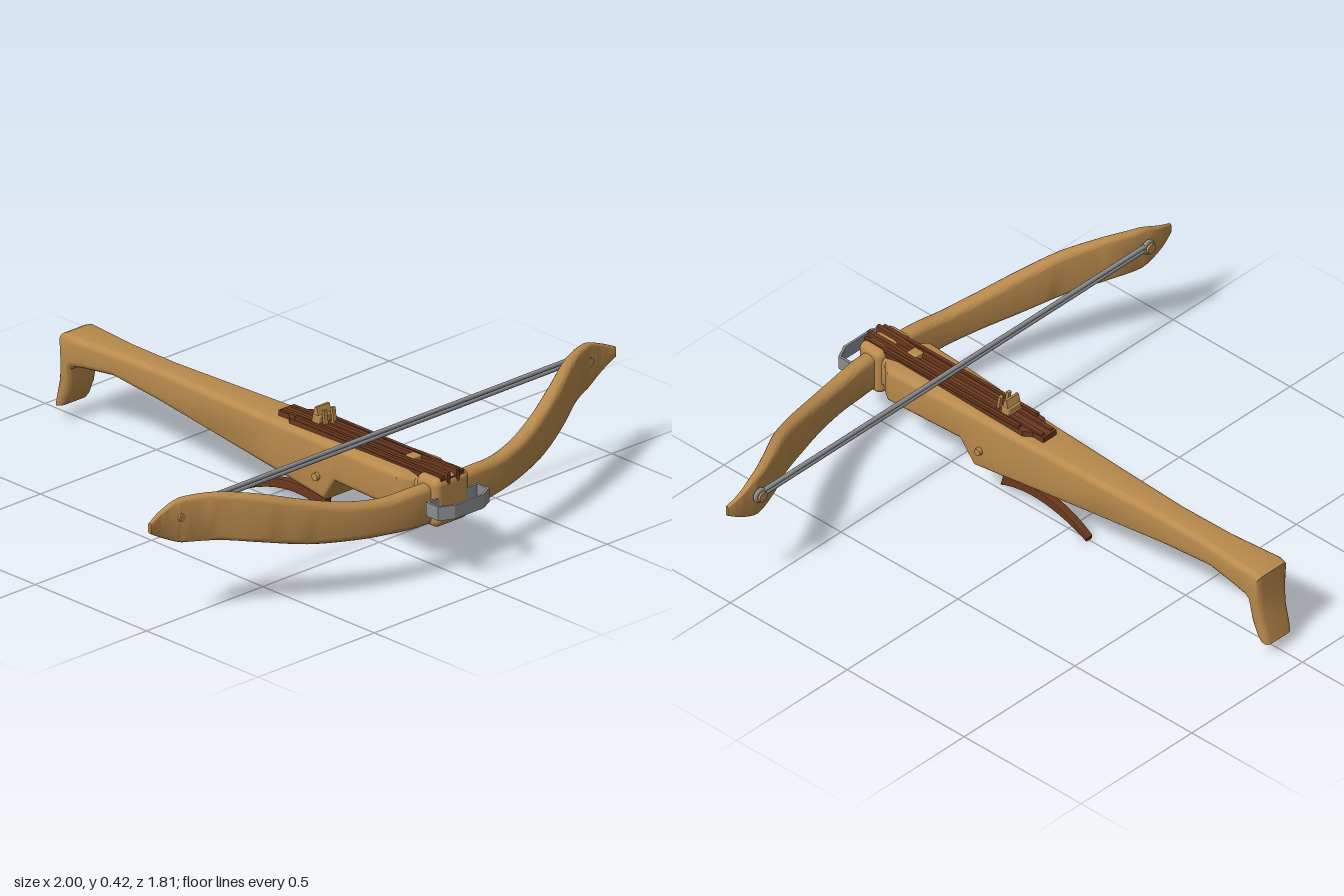
import * as THREE from 'three';
import { toCreasedNormals } from 'three/addons/utils/BufferGeometryUtils.js';
import { RoundedBoxGeometry } from 'three/addons/geometries/RoundedBoxGeometry.js';

const mat = (color) => new THREE.MeshStandardMaterial({ color, side: THREE.DoubleSide });
const V = (x, y, z) => new THREE.Vector3(x, y, z);

// Rounded rectangle ring around c, with half-axis vectors u and v and corner radius r
function ring(c, u, v, r, n = 4) {
  const pts = [], a = u.length(), b = v.length();
  const un = u.clone().normalize(), vn = v.clone().normalize();
  r = Math.min(r, a * 0.98, b * 0.98);
  [[1, 1], [-1, 1], [-1, -1], [1, -1]].forEach(([sx, sy], k) => {
    for (let i = 0; i <= n; i++) {
      const t = (k + i / n) * Math.PI / 2;
      pts.push(c.clone()
        .addScaledVector(un, sx * (a - r) + r * Math.cos(t))
        .addScaledVector(vn, sy * (b - r) + r * Math.sin(t)));
    }
  });
  return pts;
}

// Skin over a list of rings, with closed ends
function loft(rings, crease = 0.6) {
  const n = rings[0].length, pts = rings.flat(), idx = [];
  for (let i = 0; i < rings.length - 1; i++)
    for (let j = 0; j < n; j++) {
      const a = i * n + j, b = i * n + (j + 1) % n;
      idx.push(a, b, b + n, a, b + n, a + n);
    }
  const last = (rings.length - 1) * n;
  for (let j = 1; j < n - 1; j++) idx.push(0, j + 1, j, last, last + j, last + j + 1);
  // turn the faces outward
  let vol = 0;
  for (let i = 0; i < idx.length; i += 3)
    vol += pts[idx[i]].dot(pts[idx[i + 1]].clone().cross(pts[idx[i + 2]]));
  if (vol < 0) idx.reverse();
  const g = new THREE.BufferGeometry().setFromPoints(pts);
  g.setIndex(idx);
  return toCreasedNormals(g, crease);
}

// Side outline given as (z, y), extruded across x to a total width w
function sideExtrude(shape, w, bevel = 0) {
  const g = new THREE.ExtrudeGeometry(shape, {
    depth: w - 2 * bevel, bevelEnabled: bevel > 0, bevelSize: bevel, bevelThickness: bevel,
    bevelOffset: -bevel, bevelSegments: 2, curveSegments: 10
  });
  g.translate(0, 0, -w / 2 + bevel);
  g.rotateY(-Math.PI / 2);
  return g;
}

export function createModel() {
  const root = new THREE.Group();
  root.name = 'crossbow';
  const wood = mat(0xb98a4c), dark = mat(0x6b381e), metal = mat(0x8b8d90);
  const add = (name, geo, m, x = 0, y = 0, z = 0, parent = root) => {
    const mesh = new THREE.Mesh(geo, m);
    mesh.name = name;
    mesh.position.set(x, y, z);
    parent.add(mesh);
    return mesh;
  };

  // Stock: rows of top z, top y, bottom z, bottom y, half width
  const stock = [
    [0.77, 0.31, 0.77, 0.19, 0.062], [0.725, 0.31, 0.725, 0.2, 0.065],
    [0.705, 0.315, 0.705, 0.195, 0.085], [0.68, 0.32, 0.68, 0.19, 0.1],
    [0.5, 0.317, 0.5, 0.19, 0.092], [0.39, 0.314, 0.385, 0.19, 0.086],
    [0.33, 0.312, 0.33, 0.112, 0.081], [0.1, 0.307, 0.1, 0.136, 0.071],
    [-0.2, 0.304, -0.2, 0.167, 0.058], [-0.45, 0.301, -0.45, 0.193, 0.049],
    [-0.65, 0.3, -0.65, 0.215, 0.053], [-0.78, 0.3, -0.77, 0.204, 0.064],
    [-0.85, 0.302, -0.815, 0.197, 0.068], [-0.872, 0.292, -0.828, 0.185, 0.068],
    [-0.873, 0.2, -0.83, 0.15, 0.065], [-0.88, 0.14, -0.836, 0.11, 0.063],
    [-0.898, 0.07, -0.852, 0.068, 0.061], [-0.903, 0.042, -0.866, 0.05, 0.058]
  ];
  add('stock', loft(stock.map(([tz, ty, bz, by, w]) => ring(
    V(0, (ty + by) / 2, (tz + bz) / 2), V(w, 0, 0),
    V(0, (ty - by) / 2, (tz - bz) / 2), 0.022))), wood);

  // Head block holding the bow
  add('head', new RoundedBoxGeometry(0.15, 0.165, 0.1, 4, 0.025), wood, 0, 0.25, 0.785);

  // Bow: rows of x, z, top y, bottom y, half thickness, mirrored about the middle
  const half = [
    [0, 0.785, 0.31, 0.18, 0.026], [0.12, 0.783, 0.31, 0.177, 0.027],
    [0.25, 0.767, 0.305, 0.184, 0.027], [0.37, 0.738, 0.32, 0.193, 0.027],
    [0.5, 0.693, 0.353, 0.207, 0.026], [0.64, 0.63, 0.395, 0.236, 0.023],
    [0.76, 0.563, 0.417, 0.258, 0.02], [0.87, 0.518, 0.418, 0.268, 0.015],
    [0.95, 0.508, 0.39, 0.304, 0.009], [1, 0.514, 0.368, 0.333, 0.006]
  ];
  const rows = [...half.slice(1).reverse().map(([x, ...r]) => [-x, ...r]), ...half];
  const path = new THREE.CatmullRomCurve3(rows.map(([x, z, t, b]) => V(x, (t + b) / 2, z)));
  const size = new THREE.CatmullRomCurve3(rows.map(([, , t, b, w]) => V((t - b) / 2, w, 0)));
  const bowRings = [];
  for (let i = 0; i <= 72; i++) {
    const t = i / 72, c = path.getPoint(t), s = size.getPoint(t), d = path.getTangent(t);
    const across = V(-d.z, 0, d.x).normalize().multiplyScalar(s.y);
    bowRings.push(ring(c, across, V(0, s.x, 0), s.y * 0.85));
  }
  add('bow', loft(bowRings), wood);

  // Bolt rail: flat base with ridges either side of the groove
  const railBase = new THREE.Shape([[-0.05, 0.83], [0.05, 0.83], [0.05, 0.15], [0.03, 0.125],
    [0.03, 0.08], [-0.03, 0.08], [-0.03, 0.125], [-0.05, 0.15]].map(p => new THREE.Vector2(...p)));
  const baseGeo = new THREE.ExtrudeGeometry(railBase, { depth: 0.022, bevelEnabled: false });
  baseGeo.rotateX(Math.PI / 2);
  const rail = new THREE.Group();
  rail.name = 'rail';
  root.add(rail);
  add('railBase', baseGeo, dark, 0, 0.326, 0, rail);
  const ridge = new THREE.Shape([[0.835, 0.305], [0.835, 0.347], [0.73, 0.347], [0.7, 0.342],
    [0.3, 0.338], [0.09, 0.332], [0.085, 0.305]].map(p => new THREE.Vector2(...p)));
  for (const s of [-1, 1]) {
    add('railRidge', sideExtrude(ridge, 0.016, 0.003), dark, s * 0.02, 0, 0, rail);
    add('railEdge', new THREE.BoxGeometry(0.012, 0.024, 0.66), dark, s * 0.042, 0.325, 0.5, rail);
  }
  add('boltRest', new RoundedBoxGeometry(0.036, 0.03, 0.04, 2, 0.005), wood, 0, 0.332, 0.655);

  // String catch: block with a front finger and a pointed rear fin
  add('catchBlock', new RoundedBoxGeometry(0.06, 0.03, 0.035, 2, 0.006), wood, 0, 0.345, 0.245);
  const fin = new THREE.Shape([[0.262, 0.335], [0.248, 0.386], [0.24, 0.386], [0.226, 0.335]]
    .map(p => new THREE.Vector2(...p)));
  add('catchFin', sideExtrude(fin, 0.056), wood);
  for (const s of [-1, 1]) {
    const f = add('catchFinger', new THREE.BoxGeometry(0.014, 0.05, 0.01), wood, s * 0.018, 0.357, 0.276);
    f.rotation.x = -0.15;
  }

  // Trigger lever
  const lever = new THREE.Shape();
  lever.moveTo(0.285, 0.14);
  lever.lineTo(0.285, 0.11);
  lever.lineTo(0.27, 0.065);
  lever.lineTo(0.281, 0.03);
  lever.bezierCurveTo(0.19, 0.068, 0.07, 0.075, -0.088, 0);
  lever.lineTo(-0.09, 0.014);
  lever.bezierCurveTo(0.01, 0.085, 0.13, 0.108, 0.258, 0.08);
  lever.lineTo(0.265, 0.14);
  add('trigger', sideExtrude(lever, 0.028, 0.004), dark);

  // Trigger pivot pin
  const pin = new THREE.CylinderGeometry(0.013, 0.013, 0.185, 16);
  pin.rotateZ(Math.PI / 2);
  add('pivotPin', pin, wood, 0, 0.187, 0.305);

  // Foot stirrup: bent flat strip
  const outline = (k) => [[-0.11 + k, 0.825 + k], [0.11 - k, 0.825 + k], [0.11 - k, 0.88 - k / 2],
    [0.062 - k / 2, 0.905 - k], [-0.062 + k / 2, 0.905 - k], [-0.11 + k, 0.88 - k / 2]]
    .map(p => new THREE.Vector2(...p));
  const strip = new THREE.Shape(outline(0));
  strip.holes.push(new THREE.Path(outline(0.008)));
  const stripGeo = new THREE.ExtrudeGeometry(strip, { depth: 0.047, bevelEnabled: false });
  stripGeo.rotateX(Math.PI / 2);
  add('stirrup', stripGeo, metal, 0, 0.271, 0);

  // Bowstring: two strands looped round a peg at each end
  for (const y of [0.353, 0.367]) {
    const strand = new THREE.CylinderGeometry(0.0075, 0.0075, 1.73, 10);
    strand.rotateZ(Math.PI / 2);
    add('stringStrand', strand, metal, 0, y, 0.49);
  }
  for (const s of [-1, 1]) {
    add('stringLoop', new THREE.TorusGeometry(0.019, 0.0075, 8, 24), metal, s * 0.877, 0.357, 0.49);
    const peg = new THREE.CylinderGeometry(0.014, 0.014, 0.06, 16);
    peg.rotateX(Math.PI / 2);
    add('stringPeg', peg, wood, s * 0.877, 0.357, 0.505);
    const cap = new THREE.CylinderGeometry(0.018, 0.018, 0.008, 16);
    cap.rotateX(Math.PI / 2);
    add('pegCap', cap, wood, s * 0.877, 0.357, 0.477);
  }
  return root;
}
